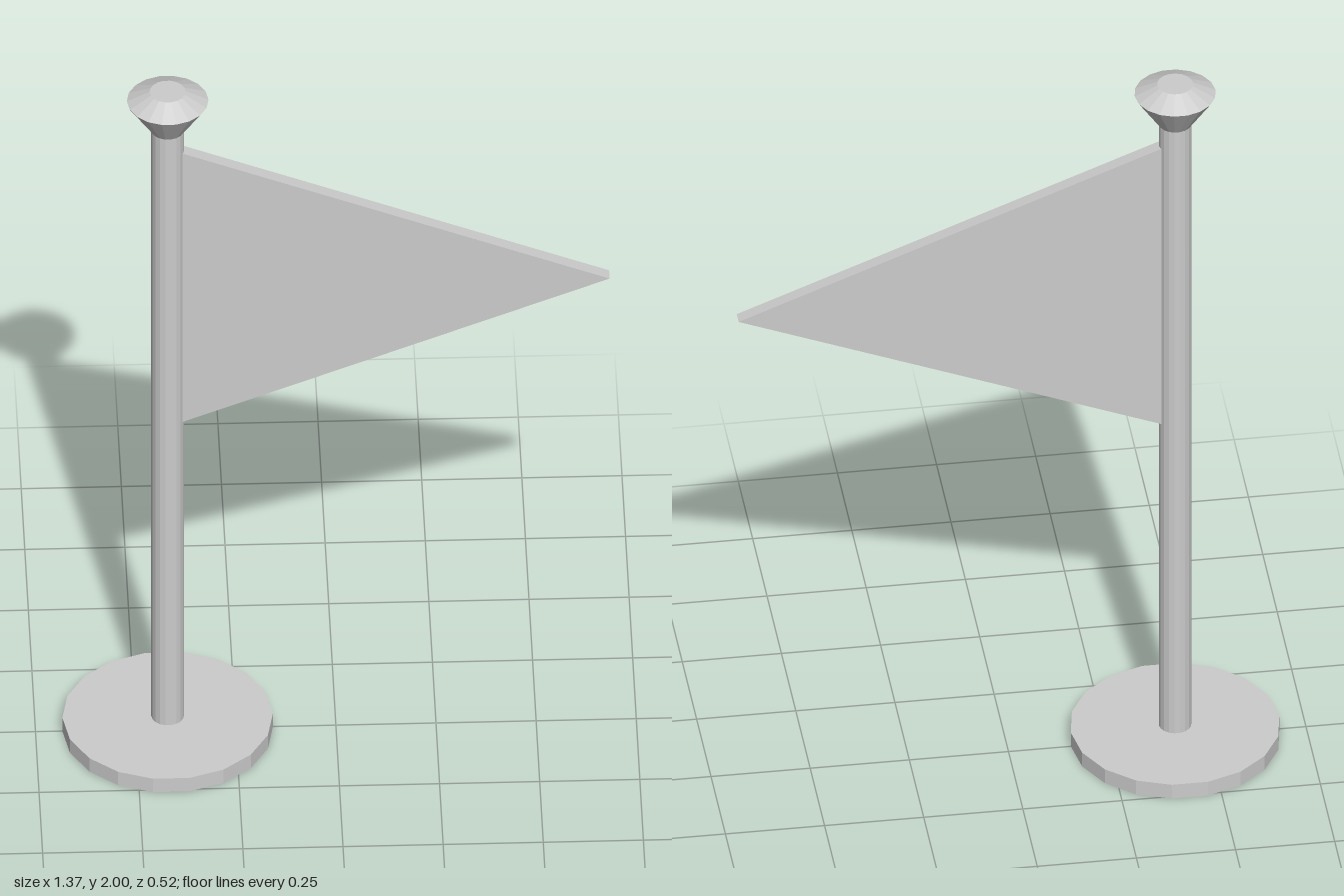
import * as THREE from 'three';

const SIDES = 18;
const POLE_X = -0.42;

export function createModel() {
  const group = new THREE.Group();
  const material = new THREE.MeshStandardMaterial({ color: 0xcccccc, flatShading: true });

  const add = (name, geometry) => {
    const mesh = new THREE.Mesh(geometry, material);
    mesh.name = name;
    group.add(mesh);
    return mesh;
  };

  // Round parts standing on the pole axis, with a corner on the x axis
  const addRound = (name, rTop, rBottom, y0, y1, open = false) => {
    const geometry = new THREE.CylinderGeometry(rTop, rBottom, y1 - y0, SIDES, 1, open, Math.PI / 2);
    add(name, geometry).position.set(POLE_X, (y0 + y1) / 2, 0);
  };
  addRound('base', 0.263, 0.263, 0, 0.042);
  addRound('pole', 0.041, 0.041, 0.042, 1.88);

  // Flared finial with a shallow bevelled top
  const profile = [[0, 1.88], [0.041, 1.88], [0.102, 1.972], [0.045, 2], [0, 2]]
    .map(([r, y]) => new THREE.Vector2(r, y));
  add('finial', new THREE.LatheGeometry(profile, SIDES, Math.PI / 2)).position.x = POLE_X;

  // Triangular pennant
  const thickness = 0.034;
  const pennant = new THREE.Shape();
  pennant.moveTo(-0.383, 0.975);
  pennant.lineTo(0.683, 1.396);
  pennant.lineTo(-0.383, 1.817);
  pennant.closePath();
  const flag = new THREE.ExtrudeGeometry(pennant, { depth: thickness, bevelEnabled: false });
  add('flag', flag).position.z = -thickness / 2;

  return group;
}
